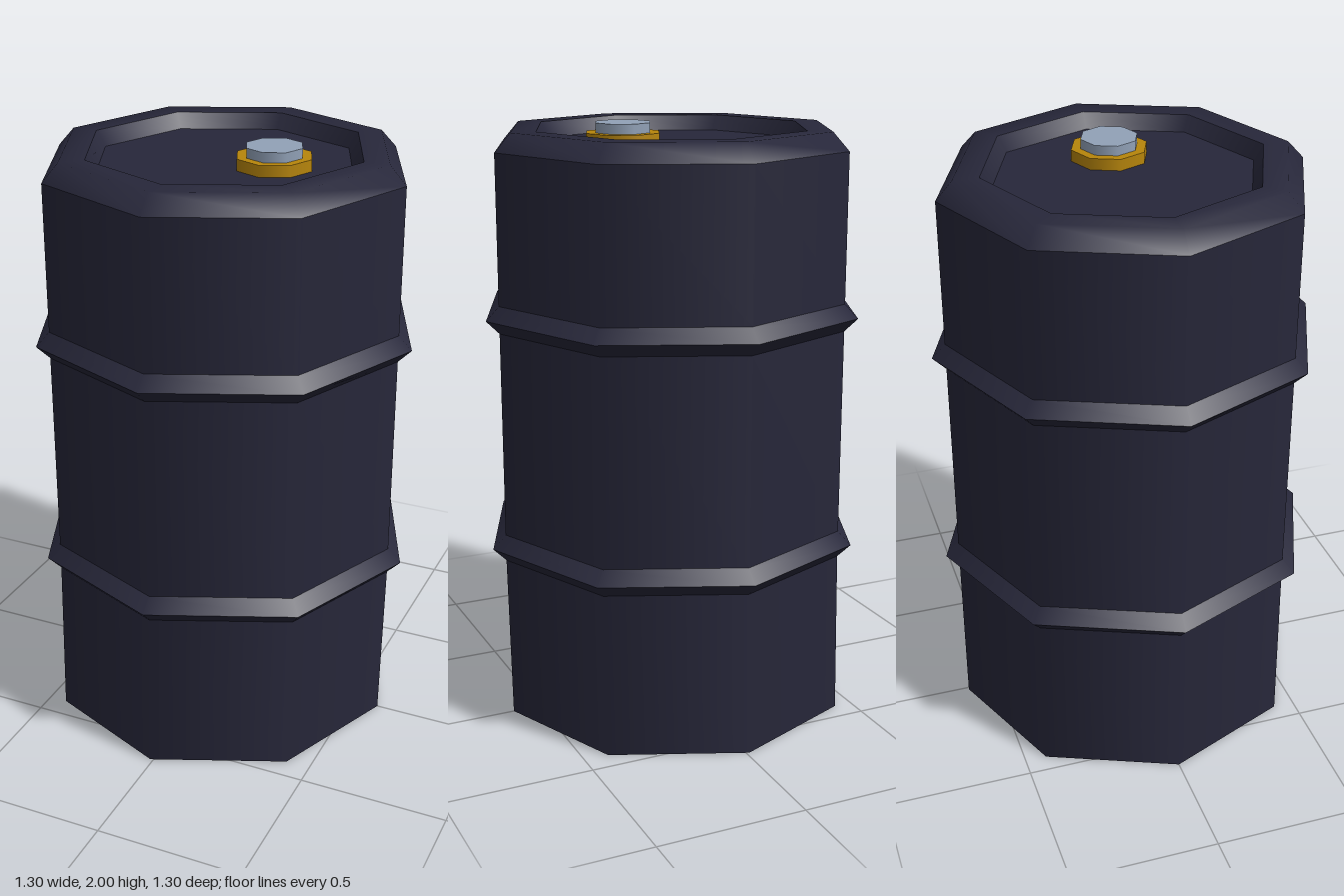
import * as THREE from 'three';

const SIDES = 8;

export function createModel() {
  const barrelPaint = new THREE.MeshStandardMaterial({ color: 0x27273a });
  barrelPaint.name = 'barrelPaint';
  const brass = new THREE.MeshStandardMaterial({ color: 0xb8860b });
  brass.name = 'brass';
  const steel = new THREE.MeshStandardMaterial({ color: 0x92a2b8 });
  steel.name = 'steel';

  const model = new THREE.Group();
  model.name = 'barrel';

  // One turned band per profile: smooth around, sharp where bands meet
  const band = (name, profile) => {
    const points = profile.map(([r, y]) => new THREE.Vector2(r, y));
    const mesh = new THREE.Mesh(new THREE.LatheGeometry(points, SIDES), barrelPaint);
    mesh.name = name;
    model.add(mesh);
    return mesh;
  };

  const R = 0.605, RIB = 0.65, HALF = 0.045;
  const ribs = [0.605, 1.385];
  const LEAN = -0.01; // the foot sits slightly off centre

  // Foot
  band('bottom', [[0, 0], [R, 0]]).position.x = LEAN;
  const lower = band('lowerWall', [[R, 0], [R, ribs[0] - HALF]]);
  const pos = lower.geometry.attributes.position;
  for (let i = 0; i < pos.count; i++) {
    if (pos.getY(i) < 0.01) pos.setX(i, pos.getX(i) + LEAN);
  }

  // Walls between the ribs
  band('middleWall', [[R, ribs[0] + HALF], [R, ribs[1] - HALF]]);
  band('upperWall', [[R, ribs[1] + HALF], [R, 1.92]]);

  // Raised ribs
  for (const y of ribs) {
    band('ribUnderside', [[R, y - HALF], [RIB, y]]);
    band('ribTop', [[RIB, y], [R, y + HALF]]);
  }

  // Bevelled rim and sunken lid
  band('rim', [[R, 1.92], [0.55, 1.98], [0.465, 1.98]]);
  band('rimInnerWall', [[0.465, 1.98], [0.433, 1.93]]);
  band('lid', [[0.433, 1.93], [0, 1.93]]);

  // Filler neck and its plug
  const disc = (name, radius, y0, y1, material) => {
    const mesh = new THREE.Mesh(
      new THREE.CylinderGeometry(radius, radius, y1 - y0, SIDES), material);
    mesh.name = name;
    mesh.position.set(0.168, (y0 + y1) / 2, 0);
    model.add(mesh);
  };
  disc('fillerNeck', 0.127, 1.925, 1.968, brass);
  disc('fillerPlug', 0.095, 1.96, 2, steel);

  return model;
}
